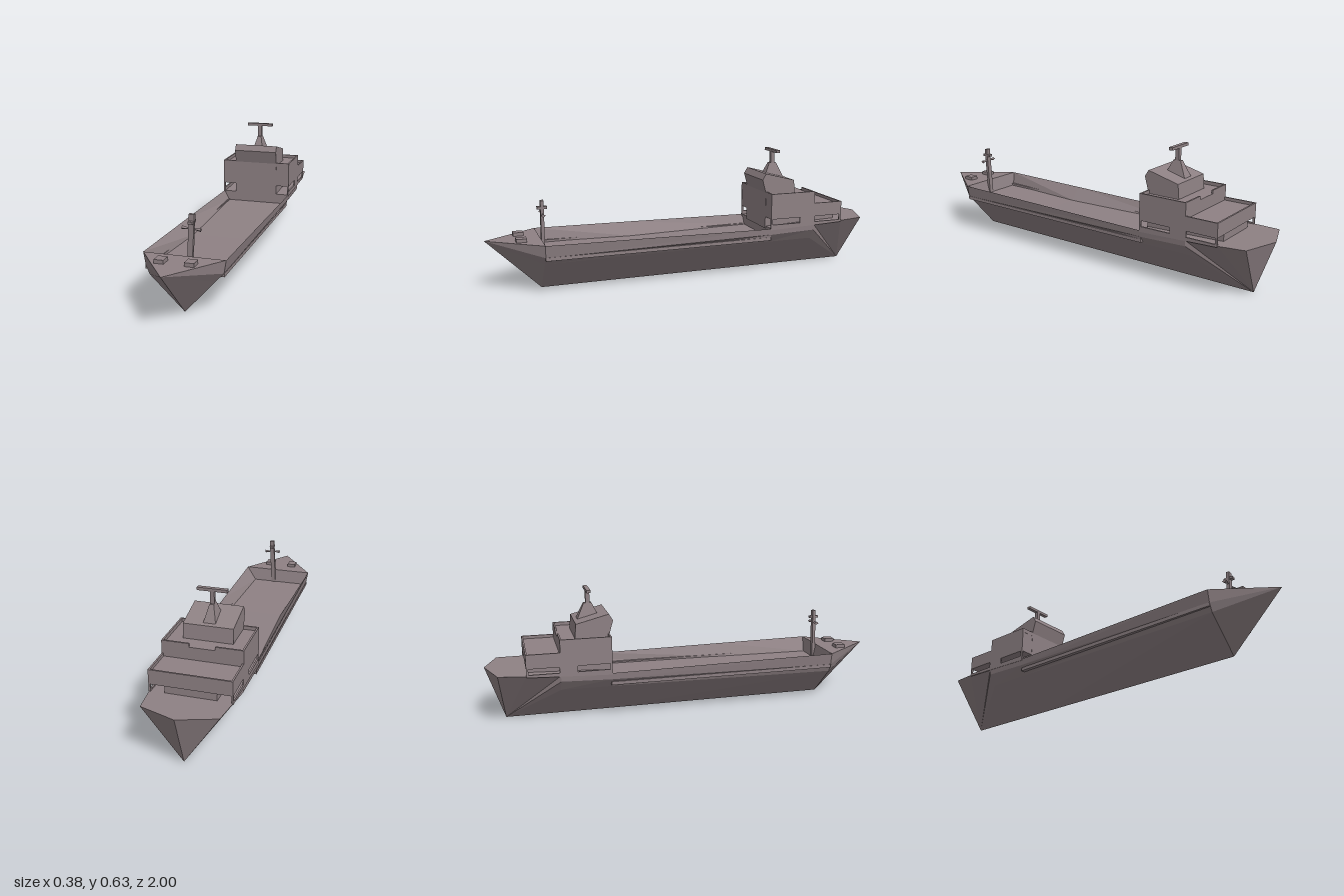
import * as THREE from 'three';

const paint = new THREE.MeshStandardMaterial({ color: 0x8e8184, side: THREE.DoubleSide });
paint.name = 'mauve grey';

export function createModel() {
  const ship = new THREE.Group();
  ship.name = 'cargoShip';

  const add = (name, geo, parent = ship) => {
    const mesh = new THREE.Mesh(geo, paint);
    mesh.name = name;
    parent.add(mesh);
    return mesh;
  };
  // Box given by its limits
  const box = (name, x0, x1, y0, y1, z0, z1, parent) => {
    const g = new THREE.BoxGeometry(x1 - x0, y1 - y0, z1 - z0);
    g.translate((x0 + x1) / 2, (y0 + y1) / 2, (z0 + z1) / 2);
    return add(name, g, parent);
  };
  // Faceted surface from polygons, each split as a fan
  const facets = (name, polygons) => {
    const pos = [];
    for (const p of polygons)
      for (let i = 1; i < p.length - 1; i++) pos.push(...p[0], ...p[i], ...p[i + 1]);
    const g = new THREE.BufferGeometry();
    g.setAttribute('position', new THREE.Float32BufferAttribute(pos, 3));
    g.computeVertexNormals();
    return add(name, g);
  };
  // Side profile in (z, y), extruded across x from x0 to x1
  const profile = (name, points, x0, x1, holes = []) => {
    const path = (p) => p.map(([a, b]) => new THREE.Vector2(a, b));
    const shape = new THREE.Shape(path(points));
    for (const h of holes) shape.holes.push(new THREE.Path(path(h)));
    const g = new THREE.ExtrudeGeometry(shape, { depth: x1 - x0, bevelEnabled: false });
    g.rotateY(-Math.PI / 2);
    g.translate(x1, 0, 0);
    return add(name, g);
  };
  const flip = (polygons) =>
    polygons.map((p) => p.map(([x, y, z]) => [-x, y, z]).reverse());

  // Hull half-sections from keel to rail, closed by fans at bow and stern
  const bowTip = [0, 0.255, 1], sternTip = [0, 0.262, -1], heel = [0, 0, -0.91];
  const halfHull = (chineX) => {
    const sections = [
      [[0, 0, 0.74], [chineX, 0.155, 0.74], [0.177, 0.195, 0.74], [0.187, 0.255, 0.74]],
      [[0, 0, -0.41], [0.148, 0.165, -0.41], [0.183, 0.21, -0.41], [0.187, 0.242, -0.41]],
      [[0, 0, -0.65], [0.146, 0.165, -0.65], [0.184, 0.218, -0.65], [0.187, 0.248, -0.65]],
    ];
    const out = [];
    for (let i = 0; i < 3; i++) {
      out.push([bowTip, sections[0][i + 1], sections[0][i]]);
      for (let s = 0; s < 2; s++) {
        const a = sections[s], b = sections[s + 1];
        out.push([a[i], a[i + 1], b[i + 1], b[i]]);
      }
    }
    const rim = [...sections[2], [0.187, 0.256, -0.81], [0.172, 0.26, -0.94], sternTip];
    for (let i = 0; i < rim.length - 1; i++) out.push([heel, rim[i], rim[i + 1]]);
    return out;
  };
  facets('hullLeft', halfHull(0.14));
  facets('hullRight', flip(halfHull(0.16)));

  // Decks, hold floor and bulkheads
  facets('foredeck', [[[-0.187, 0.255, 0.74], [0.187, 0.255, 0.74], bowTip]]);
  facets('aftDeck', [
    [[-0.187, 0.242, -0.41], [0.187, 0.242, -0.41], [0.187, 0.256, -0.81], [-0.187, 0.256, -0.81]],
    [[-0.187, 0.256, -0.81], [0.187, 0.256, -0.81], [0.172, 0.26, -0.94], sternTip, [-0.172, 0.26, -0.94]],
  ]);
  const port = [[0.135, 0.185, 0.725], [0.152, 0.185, 0.25], [0.178, 0.19, -0.41]];
  const starboard = [[-0.165, 0.185, 0.725], [-0.135, 0.185, 0.25], [-0.158, 0.19, -0.41]];
  facets('holdFloor', [0, 1].map((i) => [port[i], port[i + 1], starboard[i + 1], starboard[i]]));
  facets('holdBulkheads', [
    [port[0], starboard[0], [-0.187, 0.255, 0.74], [0.187, 0.255, 0.74]],
    [starboard[2], port[2], [0.187, 0.242, -0.41], [-0.187, 0.242, -0.41]],
  ]);
  const bulwark = (edge, s) => {
    const rail = [[s * 0.187, 0.255, 0.74], [s * 0.187, 0.25, 0.25], [s * 0.187, 0.242, -0.41]];
    const polys = [0, 1].map((i) => [edge[i], rail[i], rail[i + 1], edge[i + 1]]);
    return s > 0 ? polys : polys.map((p) => p.reverse());
  };
  facets('bulwarkLeft', bulwark(port, 1));
  facets('bulwarkRight', bulwark(starboard, -1));

  // Everything that is the same on both sides
  for (const s of [1, -1]) {
    const side = s > 0 ? 'Left' : 'Right';
    const span = (a, b) => (s > 0 ? [a, b] : [-b, -a]);

    box('rubbingStrake' + side, ...span(0.155, 0.179), 0.179, 0.196, -0.41, 0.74);
    box('foredeckHatch' + side, ...span(0.045, 0.088), 0.25, 0.272, 0.81, 0.86);

    // Deckhouse side wall with two gallery openings
    const opening = (z0, z1) => [[z0, 0.262], [z0, 0.291], [z1, 0.291], [z1, 0.262]];
    profile('deckhouseWall' + side,
      [[-0.405, 0.235], [-0.405, 0.422], [-0.65, 0.422], [-0.65, 0.36], [-0.81, 0.36], [-0.81, 0.25]],
      ...span(0.18, 0.188), [opening(-0.415, -0.57), opening(-0.655, -0.8)]);
    box('upperParapet' + side, ...span(0.06, 0.181), 0.4, 0.422, -0.65, -0.642);
  }

  // Deckhouse core, overhanging decks and parapets
  box('deckhouseCore', -0.117, 0.117, 0.23, 0.4, -0.65, -0.405);
  box('deckhouseAftCore', -0.117, 0.117, 0.23, 0.34, -0.805, -0.65);
  box('upperDeck', -0.181, 0.181, 0.291, 0.405, -0.65, -0.406);
  box('lowerDeck', -0.181, 0.181, 0.291, 0.345, -0.81, -0.65);
  box('frontParapet', -0.181, 0.181, 0.4, 0.422, -0.413, -0.405);
  box('aftParapet', -0.181, 0.181, 0.34, 0.36, -0.81, -0.802);

  // Wheelhouse with undercut front and sloping roof
  profile('wheelhouse',
    [[-0.41, 0.4], [-0.386, 0.485], [-0.405, 0.516], [-0.565, 0.475], [-0.572, 0.4]], -0.117, 0.117);

  // Radar mast
  const radar = new THREE.Group();
  radar.name = 'radarMast';
  ship.add(radar);
  const base = new THREE.CylinderGeometry(0.01 * Math.SQRT2, 0.03 * Math.SQRT2, 0.08, 4, 1).toNonIndexed();
  base.rotateY(Math.PI / 4);
  base.scale(1, 1, 1.9);
  base.computeVertexNormals();
  base.translate(0, 0.515, -0.492);
  add('mastBase', base, radar);
  box('mastPost', -0.01, 0.01, 0.55, 0.615, -0.502, -0.482, radar);
  box('radarBar', -0.07, 0.07, 0.613, 0.627, -0.503, -0.483, radar);

  // Slightly leaning foremast with lamp arms
  const foremast = new THREE.Group();
  foremast.name = 'foremast';
  ship.add(foremast);
  box('foremastPost', -0.012, 0.012, 0, 0.255, -0.008, 0.008, foremast);
  for (const s of [1, -1]) {
    const arm = new THREE.BufferGeometry();
    const lamp = new THREE.CylinderGeometry(0.012, 0.004, 0.032, 4).toNonIndexed();
    lamp.computeVertexNormals();
    lamp.rotateZ(-s * Math.PI / 2);
    lamp.scale(1, 0.7, 1);
    lamp.translate(s * 0.026, 0.19, 0);
    arm.copy(lamp);
    add('lampArm', arm, foremast);
  }
  box('lampBracket', -0.01, 0.01, 0.214, 0.226, -0.024, 0.024, foremast);
  foremast.position.set(0.021, 0.185, 0.728);
  foremast.rotation.z = -0.055;

  return ship;
}
